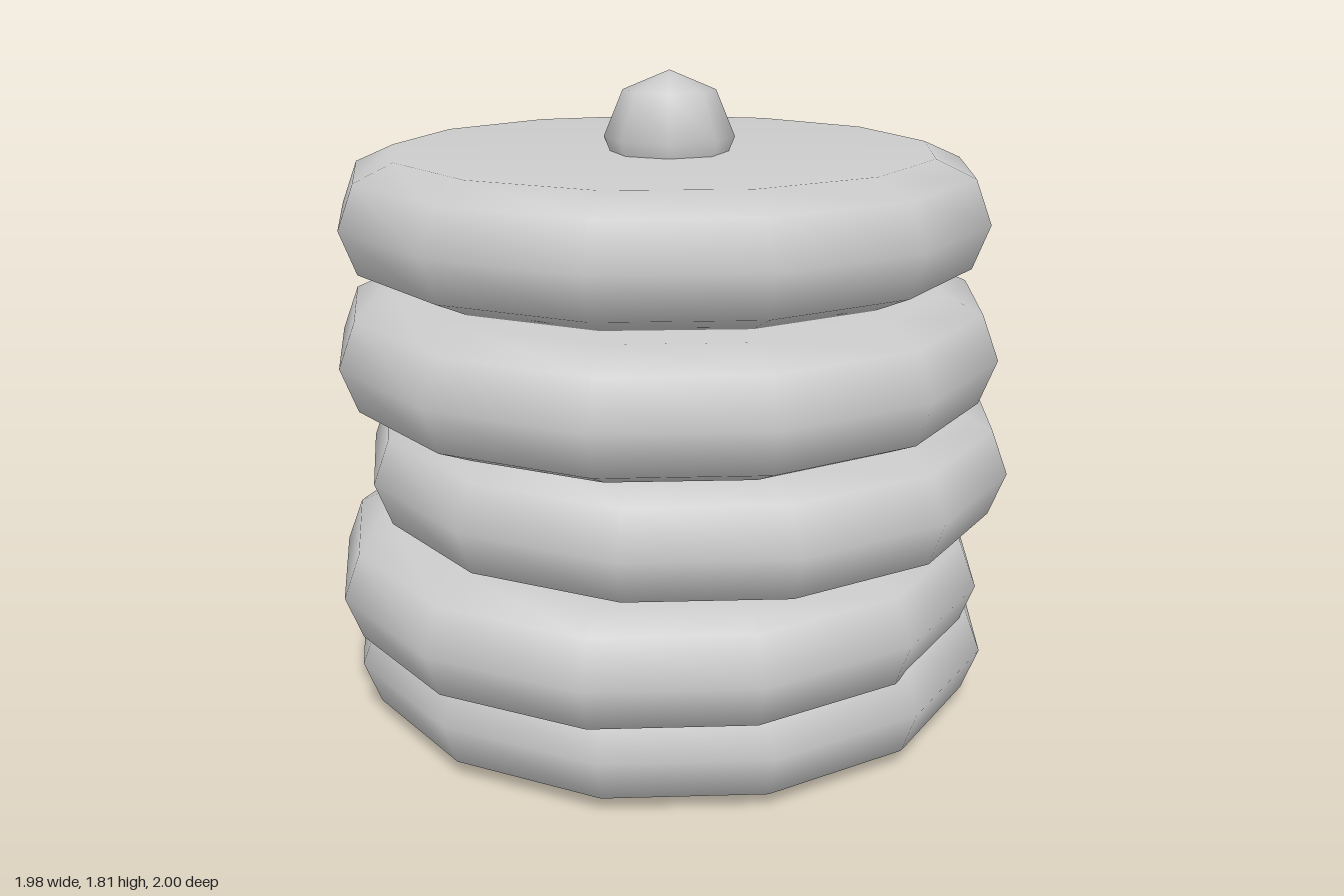
import * as THREE from 'three';
import { mergeVertices } from 'three/addons/utils/BufferGeometryUtils.js';

// Half outline of one disc: flat faces with a rounded rim
const PROFILE = [
  [0, -0.175], [0.79, -0.175], [0.903, -0.125], [0.95, 0],
  [0.903, 0.125], [0.79, 0.175], [0, 0.175],
].map(([r, y]) => new THREE.Vector2(r, y));

// Centres of the stacked discs, bottom to top
const CENTRES = [
  [0.005, 0.177, 0],
  [0.015, 0.4, 0.055],
  [0.025, 0.713, -0.055],
  [0.035, 1.066, 0.04],
  [-0.068, 1.414, -0.045],
];

// Weld the seam and the poles, then weight the normals by face area
function smooth(geometry) {
  geometry.deleteAttribute('normal');
  geometry.deleteAttribute('uv');
  const welded = mergeVertices(geometry, 1e-4);
  welded.computeVertexNormals();
  return welded;
}

export function createModel() {
  const model = new THREE.Group();
  model.name = 'pancakeStack';
  const material = new THREE.MeshStandardMaterial({ color: 0xcccccc });

  // Pancakes: thirteen-sided, one corner towards +x
  const pancake = smooth(new THREE.LatheGeometry(PROFILE, 13, Math.PI / 2));
  CENTRES.forEach((centre, i) => {
    const mesh = new THREE.Mesh(pancake, material);
    mesh.name = `pancake${i + 1}`;
    mesh.position.set(...centre);
    model.add(mesh);
  });

  // Berry sunk a little into the top pancake
  const berry = new THREE.Mesh(smooth(new THREE.SphereGeometry(0.186, 8, 4)), material);
  berry.name = 'berry';
  berry.position.set(0.004, 1.63, -0.004);
  model.add(berry);

  return model;
}
